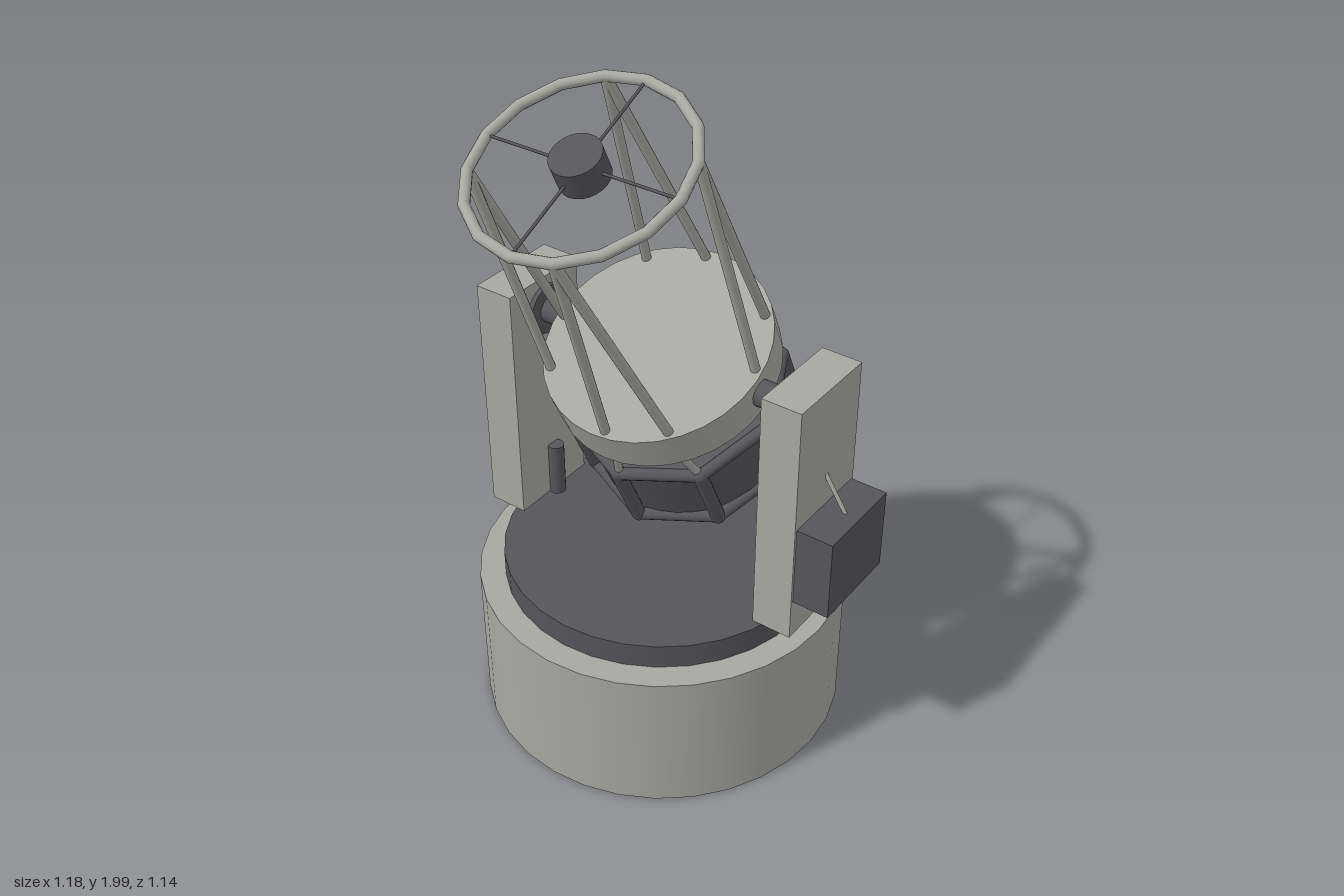
import * as THREE from 'three';

const mat = (name, color) => {
  const m = new THREE.MeshStandardMaterial({ color });
  m.name = name;
  return m;
};

export function createModel() {
  const pale = mat('pale grey', 0xa6a7a0);
  const dark = mat('dark grey', 0x55555a);

  const model = new THREE.Group();
  model.name = 'telescope';
  const mount = new THREE.Group();
  mount.name = 'mount';
  mount.position.set(-0.052, 0, -0.033);
  model.add(mount);

  const add = (parent, name, geo, material, x = 0, y = 0, z = 0) => {
    const m = new THREE.Mesh(geo, material);
    m.name = name;
    m.position.set(x, y, z);
    parent.add(m);
    return m;
  };
  // Round bar between two points
  const rod = (parent, name, a, b, r, material, sides = 12) => {
    const d = b.clone().sub(a);
    const m = add(parent, name, new THREE.CylinderGeometry(r, r, d.length(), sides), material);
    m.position.copy(a).add(b).multiplyScalar(0.5);
    m.quaternion.setFromUnitVectors(new THREE.Vector3(0, 1, 0), d.normalize());
    return m;
  };
  const V = (x, y, z) => new THREE.Vector3(x, y, z);
  // Point around the tube axis, angle in degrees from the front
  const polar = (deg, r, y) => {
    const a = THREE.MathUtils.degToRad(deg);
    return V(Math.sin(a) * r, y, Math.cos(a) * r);
  };

  // Base
  add(mount, 'pier', new THREE.CylinderGeometry(0.543, 0.543, 0.445, 32), pale, 0, 0.2225, 0);
  add(mount, 'turntable', new THREE.CylinderGeometry(0.468, 0.468, 0.075, 32), dark, 0, 0.4825, 0);

  // Fork arms with bearings and axles
  const pivotY = 1.165;
  for (const s of [-1, 1]) {
    add(mount, 'forkArm', new THREE.BoxGeometry(0.12, 0.745, 0.292), pale, s * 0.473, 0.8925, 0);
    rod(mount, 'bearing', V(s * 0.42, pivotY, 0), V(s * 0.398, pivotY, 0), 0.075, dark, 24);
    rod(mount, 'axle', V(s * 0.42, pivotY, 0), V(s * 0.3, pivotY, 0), 0.038, dark, 20);
  }

  // Drive motor, control box and its cable
  add(mount, 'driveMotor', new THREE.CylinderGeometry(0.025, 0.025, 0.17, 16), dark, -0.4, 0.605, 0);
  add(mount, 'controlBox', new THREE.BoxGeometry(0.11, 0.247, 0.278), dark, 0.587, 0.768, -0.001);
  rod(mount, 'cable', V(0.525, 1.0, 0), V(0.6, 0.885, 0), 0.006, pale, 8);

  // Tilting optical assembly
  const scope = new THREE.Group();
  scope.name = 'opticalAssembly';
  scope.position.y = pivotY;
  scope.rotation.x = THREE.MathUtils.degToRad(25);
  mount.add(scope);
  add(scope, 'centreSection', new THREE.CylinderGeometry(0.323, 0.323, 0.116, 32), pale);

  // Mirror cell: drum inside an eight-sided tubular cage
  const cageR = 0.307, cageTop = -0.168, cageBottom = -0.386;
  add(scope, 'mirrorDrum', new THREE.CylinderGeometry(0.287, 0.287, 0.235, 32), dark, 0, -0.277, 0);
  for (let i = 0; i < 8; i++) {
    const a = i * 45;
    rod(scope, 'cagePost', polar(a, cageR, cageTop), polar(a, cageR, cageBottom), 0.021, dark);
    for (const y of [cageTop, cageBottom]) {
      rod(scope, 'cageRail', polar(a, cageR, y), polar(a + 45, cageR, y), 0.018, dark);
      const p = polar(a, cageR, y);
      add(scope, 'cageJoint', new THREE.SphereGeometry(0.021, 12, 8), dark, p.x, p.y, p.z);
    }
  }

  // Truss: four V pairs above, short struts to the cage corners below
  const ringY = 0.762, ringR = 0.29;
  for (let i = 0; i < 4; i++) {
    const node = 22.5 + i * 90;
    for (const s of [-1, 1]) {
      const foot = node + s * 17;
      rod(scope, 'trussTube', polar(foot, 0.3, 0.05), polar(node, ringR, ringY), 0.014, pale);
      rod(scope, 'lowerStrut', polar(foot, 0.3, -0.05), polar(node + s * 22.5, 0.3, cageTop), 0.012, pale);
    }
  }

  // Top ring, spider vanes and secondary mirror housing
  const ring = add(scope, 'topRing', new THREE.TorusGeometry(ringR, 0.015, 12, 16), pale, 0, ringY, 0);
  ring.rotation.x = Math.PI / 2;
  for (let i = 0; i < 4; i++) {
    rod(scope, 'spiderVane', polar(i * 90, 0.05, ringY), polar(i * 90, ringR, ringY), 0.004, dark, 8);
  }
  add(scope, 'secondaryHousing', new THREE.CylinderGeometry(0.068, 0.068, 0.078, 24), dark, 0, ringY, 0);

  return model;
}
